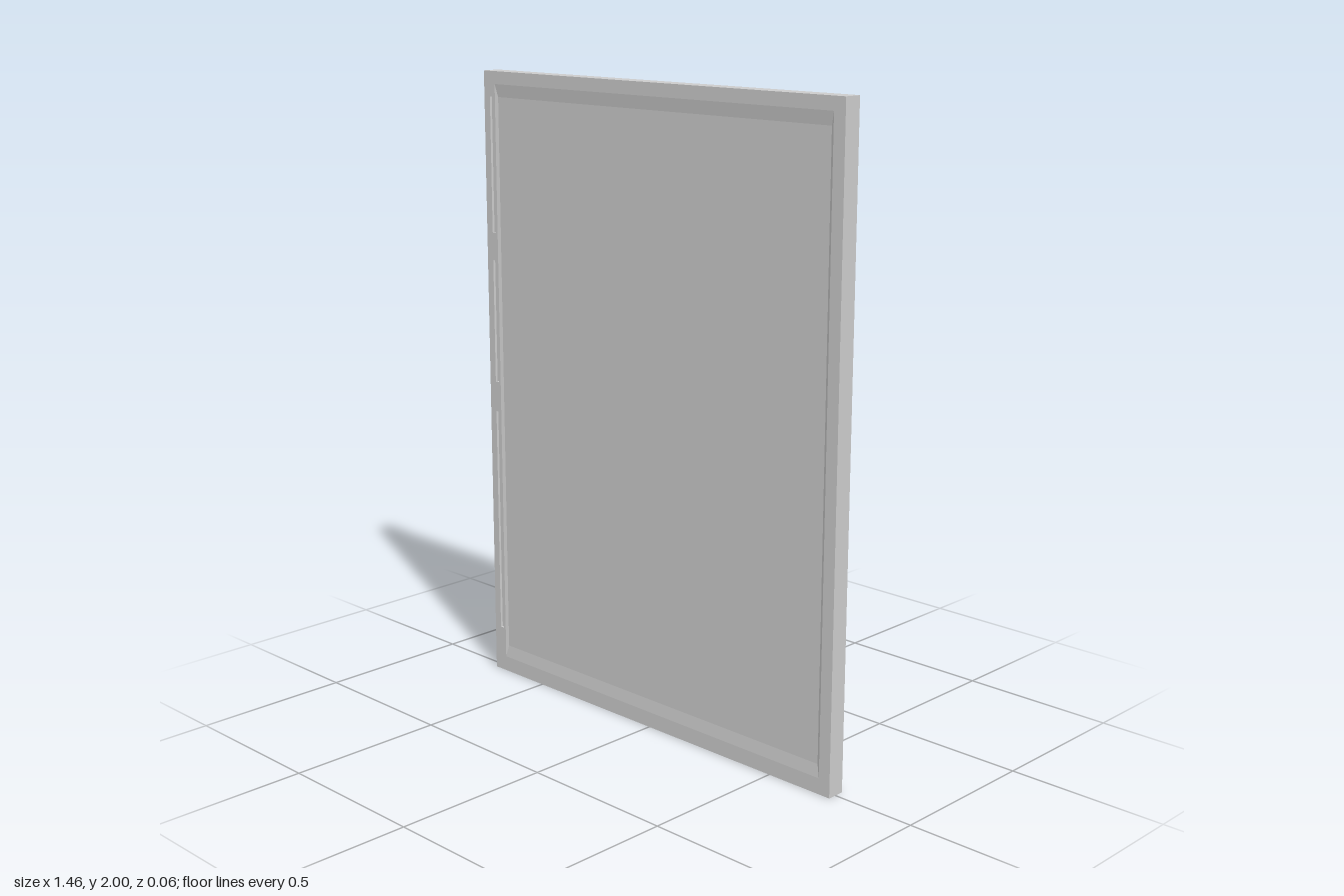
import * as THREE from 'three';

const material = new THREE.MeshStandardMaterial({ color: 0xcccccc, flatShading: true });

// Rectangular cross-section, counterclockwise as seen from the front
const rect = (x0, x1, y0, y1, z) => [[x0, y0, z], [x1, y0, z], [x1, y1, z], [x0, y1, z]];

// Skin between successive loops, each joined to the next; caps are optional
function loft(loops, capStart, capEnd) {
  const pos = [];
  const quad = (a, b, c, d) => pos.push(...a, ...b, ...c, ...a, ...c, ...d);
  for (let k = 0; k < loops.length - 1; k++) {
    const a = loops[k], b = loops[k + 1];
    for (let i = 0; i < 4; i++) {
      const j = (i + 1) % 4;
      quad(a[i], a[j], b[j], b[i]);
    }
  }
  if (capStart) quad(...[...loops[0]].reverse());
  if (capEnd) quad(...loops[loops.length - 1]);
  const geo = new THREE.BufferGeometry();
  geo.setAttribute('position', new THREE.Float32BufferAttribute(pos, 3));
  geo.computeVertexNormals();
  return geo;
}

export function createModel() {
  const group = new THREE.Group();
  const add = (name, geo) => {
    const mesh = new THREE.Mesh(geo, material);
    mesh.name = name;
    group.add(mesh);
  };
  const front = 0.028, back = -0.03, dip = 0.005;
  const outer = z => rect(-0.73, 0.73, 0, 2, z);
  const rim = z => rect(-0.68, 0.69, 0.05, 1.96, z);
  const sunk = z => rect(-0.67, 0.68, 0.09, 1.92, z);

  // Slab edge, flat back rim, sloped step and shallow back panel
  add('backAndEdges', loft([sunk(back + dip), rim(back), outer(back), outer(front)], true, false));

  // Sloped step and shallow front panel
  add('frontPanel', loft([rim(front), sunk(front - dip)], false, true));

  // Front rim, cut out for the panel and the three slots in its side
  const slots = [[0.15, 0.9], [1.0, 1.4], [1.49, 1.92]];
  const toPoints = loop => loop.map(([x, y]) => new THREE.Vector2(x, y));
  const slotLoop = ([y0, y1], z) => rect(-0.704, -0.688, y0, y1, z);
  const shape = new THREE.Shape(toPoints(outer(0)));
  shape.holes.push(new THREE.Path(toPoints(rim(0))));
  slots.forEach(s => shape.holes.push(new THREE.Path(toPoints(slotLoop(s, 0)))));
  add('frontRim', new THREE.ShapeGeometry(shape).translate(0, 0, front));

  // Walls and floors of the slots
  slots.forEach((s, i) => add('slot' + (i + 1),
    loft([slotLoop(s, front), slotLoop(s, front - 0.008)], false, true)));

  return group;
}
